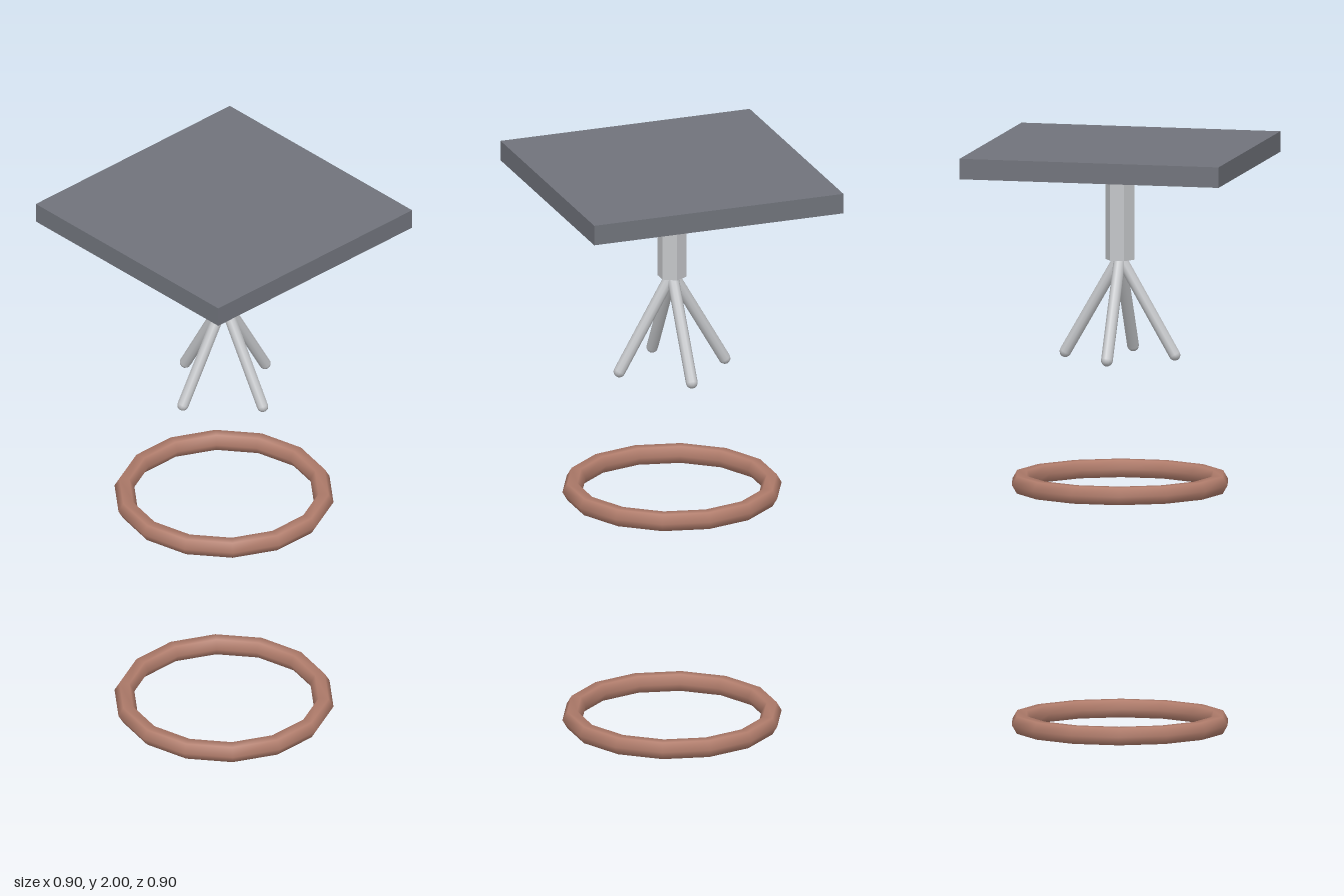
import * as THREE from 'three';

export function createModel() {
  const model = new THREE.Group();
  model.name = 'ceilingRig';

  const slate = new THREE.MeshStandardMaterial({ color: 0x70737b });
  slate.name = 'slateGrey';
  const steel = new THREE.MeshStandardMaterial({ color: 0xc4c6c9 });
  steel.name = 'lightSteel';
  const copper = new THREE.MeshStandardMaterial({ color: 0xb07c6b });
  copper.name = 'copper';

  const add = (name, geometry, material, y) => {
    const mesh = new THREE.Mesh(geometry, material);
    mesh.name = name;
    mesh.position.y = y;
    model.add(mesh);
    return mesh;
  };

  // Square plate on top
  add('topPlate', new THREE.BoxGeometry(0.9, 0.07, 0.9), slate, 1.965);

  // Hexagonal post with corners on the x axis and flat faces
  const post = new THREE.CylinderGeometry(0.05, 0.05, 0.32, 6, 1, false, Math.PI / 6).toNonIndexed();
  post.computeVertexNormals();
  add('post', post, steel, 1.77);

  // Four round-ended prongs splayed 30 degrees from the foot of the post
  const length = 0.38;
  const prong = new THREE.CapsuleGeometry(0.02, length, 4, 10);
  prong.translate(0, -length / 2, 0);
  prong.rotateZ(Math.PI / 6);
  for (let i = 0; i < 4; i++) {
    add(`prong${i + 1}`, prong, steel, 1.619).rotation.y = i * Math.PI / 2;
  }

  // Two floating rings with a hexagonal section
  const ring = new THREE.TorusGeometry(0.34, 0.034, 6, 14);
  ring.rotateX(Math.PI / 2);
  add('lowerRing', ring, copper, 0.03);
  add('upperRing', ring, copper, 0.85);

  return model;
}
